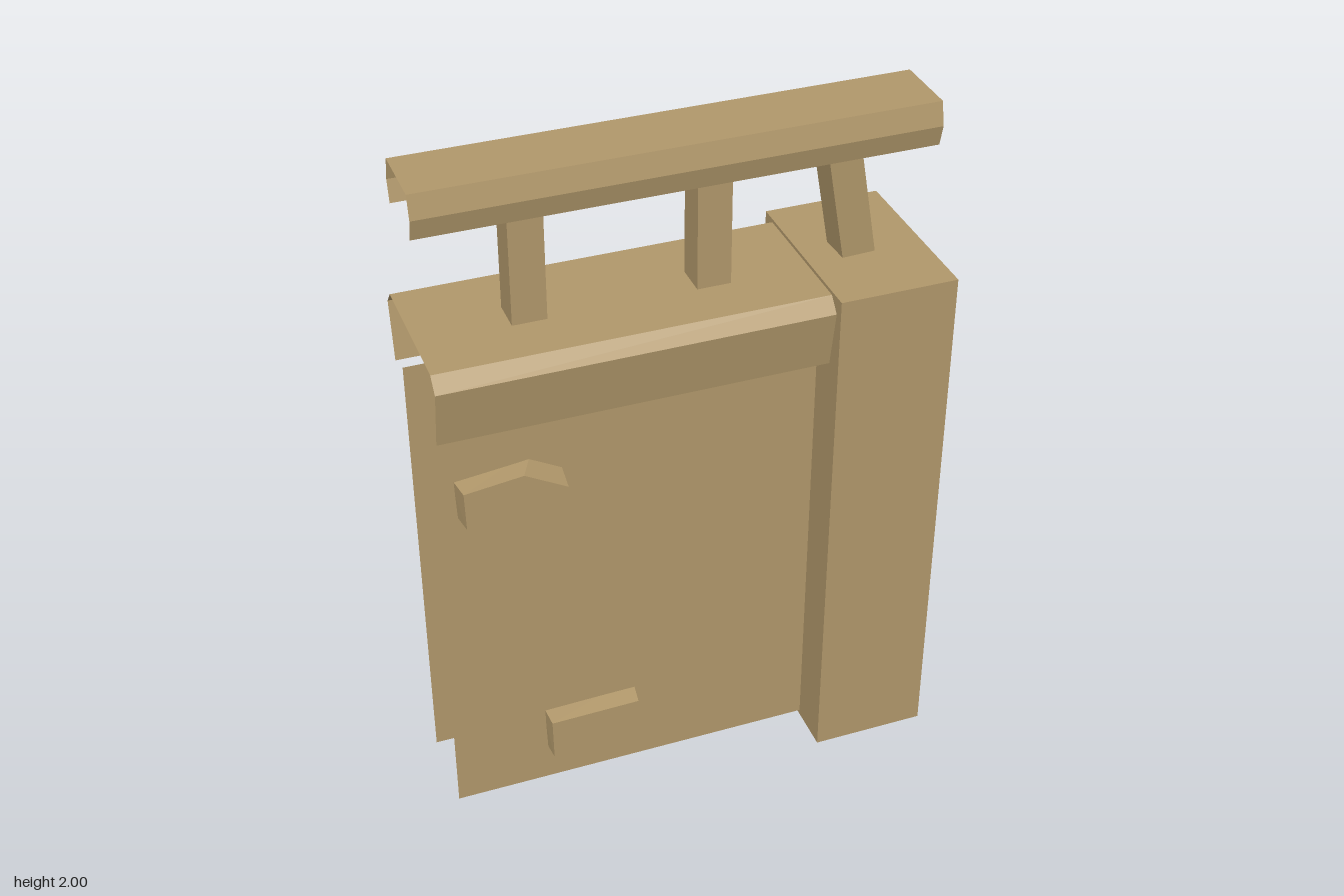
import * as THREE from 'three';

const stoneTan = new THREE.MeshStandardMaterial({ color: 0xb0976a });
stoneTan.name = 'stoneTan';
stoneTan.side = THREE.DoubleSide;

// Flat-sided surface joining two matching lists of points
function loft(a, b, closed) {
  const pos = [];
  const n = a.length;
  for (let i = 0; i < (closed ? n : n - 1); i++) {
    const j = (i + 1) % n;
    pos.push(...a[i], ...a[j], ...b[j], ...a[i], ...b[j], ...b[i]);
  }
  if (closed) {
    for (let i = 1; i < n - 1; i++) {
      pos.push(...b[0], ...b[i], ...b[i + 1], ...a[0], ...a[i + 1], ...a[i]);
    }
  }
  const g = new THREE.BufferGeometry();
  g.setAttribute('position', new THREE.Float32BufferAttribute(pos, 3));
  g.computeVertexNormals();
  return g;
}

export function createModel() {
  const group = new THREE.Group();
  const add = (name, geometry, x = 0, y = 0, z = 0) => {
    const mesh = new THREE.Mesh(geometry, stoneTan);
    mesh.name = name;
    mesh.position.set(x, y, z);
    group.add(mesh);
    return mesh;
  };

  // Open folded channel running along x, profile given as [z, y]
  const channel = (name, profile, x0, x1) => add(name, loft(
    profile.map(([z, y]) => [x0, y, z]),
    profile.map(([z, y]) => [x1, y, z]), false));

  // End pillar, open underneath
  const pillarShell = new THREE.BoxGeometry(0.335, 1.56, 0.512).toNonIndexed();
  const keep = ['position', 'normal', 'uv'];
  for (const key of keep) {
    const attr = pillarShell.getAttribute(key);
    const size = attr.itemSize;
    // the fourth side of a box (vertices 18 to 23) is the bottom
    const kept = [...attr.array].filter((_, i) => i < 18 * size || i >= 24 * size);
    pillarShell.setAttribute(key, new THREE.Float32BufferAttribute(kept, size));
  }
  pillarShell.clearGroups();
  add('pillar', pillarShell, 0.5375, 0.78, 0);

  // Two thin wall sheets, running slightly into the pillar
  add('frontWall', new THREE.PlaneGeometry(1.14, 1.355), -0.14, 0.6925, 0.12);
  add('backWall', new THREE.PlaneGeometry(1.14, 1.355).rotateY(Math.PI), -0.14, 0.6925, -0.13);

  // Wall coping and handrail
  channel('coping', [[0.2, 1.34], [0.23, 1.51], [0.195, 1.55],
    [-0.21, 1.55], [-0.245, 1.51], [-0.215, 1.34]], -0.71, 0.385);
  channel('handrail', [[0.09, 1.875], [0.105, 1.935], [0.09, 2],
    [-0.105, 2], [-0.12, 1.935], [-0.105, 1.875]], -0.71, 0.705);

  // Upright posts and one leaning post
  for (const x of [-0.408, 0.098]) {
    add('post', new THREE.BoxGeometry(0.095, 0.39, 0.095), x, 1.695, 0);
  }
  const lean = add('leaningPost', new THREE.BoxGeometry(0.095, 0.38, 0.093), 0.487, 1.7, 0);
  lean.rotation.set(0, 0.05, 0.175);

  // Raised stones pushed through the front wall
  const stone = (name, back, front, z) => add(name, loft(
    back.map(([x, y]) => [x, y, 0.085]),
    front.map(([x, y]) => [x, y, z]), true));
  stone('upperStone',
    [[-0.655, 1.035], [-0.365, 1.025], [-0.358, 1.14], [-0.43, 1.18], [-0.66, 1.155]],
    [[-0.642, 1.037], [-0.376, 1.032], [-0.36, 1.105], [-0.48, 1.172], [-0.645, 1.152]], 0.18);
  stone('lowerStone',
    [[-0.435, 0.13], [-0.155, 0.13], [-0.16, 0.287], [-0.44, 0.28]],
    [[-0.43, 0.137], [-0.16, 0.133], [-0.17, 0.272], [-0.432, 0.268]], 0.172);

  return group;
}
